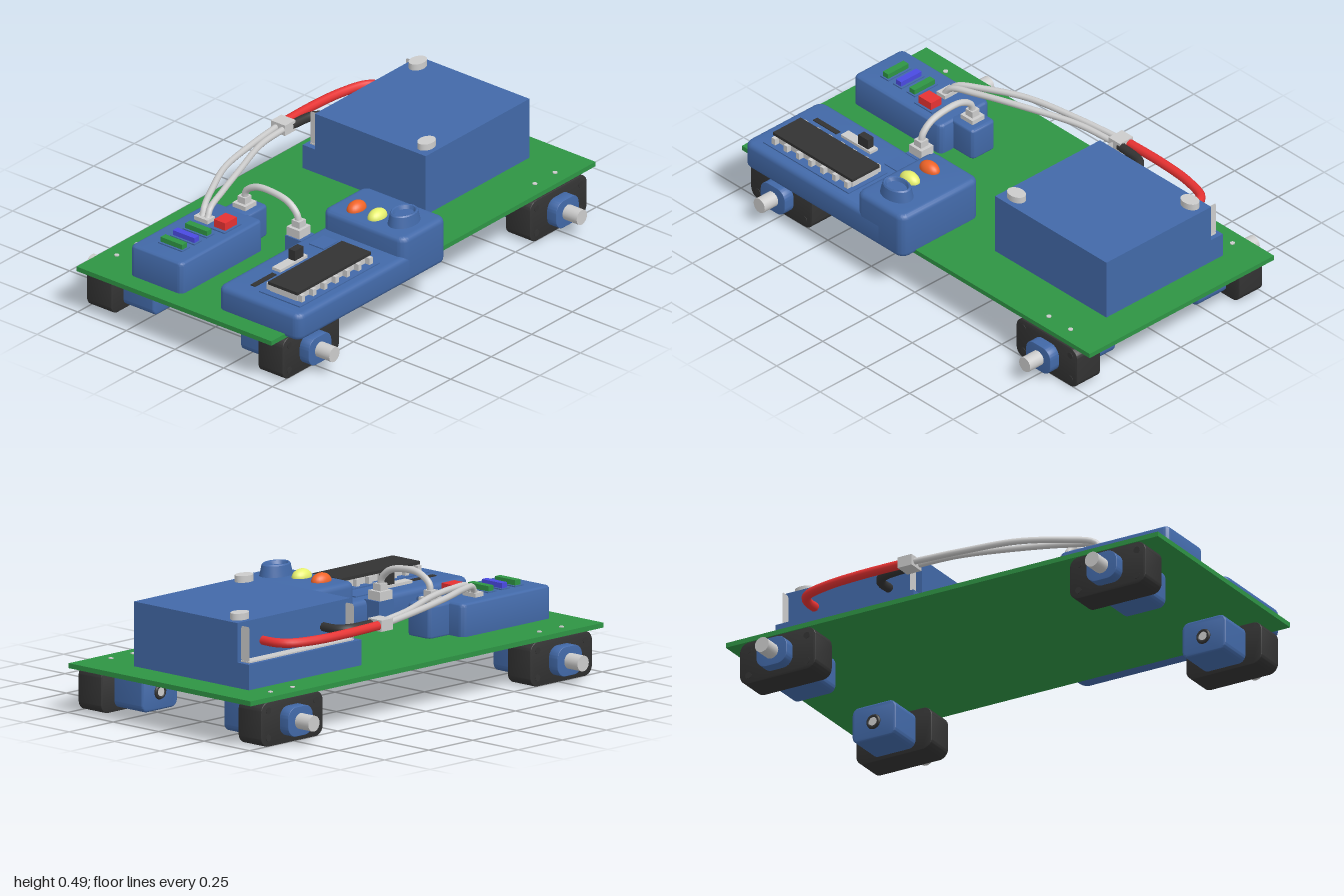
import * as THREE from 'three';
import { toCreasedNormals } from 'three/addons/utils/BufferGeometryUtils.js';

const mat = (color) => new THREE.MeshStandardMaterial({ color });
const grey = mat(0xcccccc), blue = mat(0x4269a8), green = mat(0x2e9444), black = mat(0x333333),
  red = mat(0xe63232), orange = mat(0xf06428), yellow = mat(0xe6f06e), violet = mat(0x4a4ae0);
const greyThin = grey.clone();
greyThin.side = THREE.DoubleSide;

function add(parent, name, geometry, material, x = 0, y = 0, z = 0) {
  const mesh = new THREE.Mesh(geometry, material);
  mesh.name = name;
  mesh.position.set(x, y, z);
  parent.add(mesh);
  return mesh;
}

// Box given by its limits on each axis
function block(parent, name, material, x0, x1, y0, y1, z0, z1) {
  return add(parent, name, new THREE.BoxGeometry(x1 - x0, y1 - y0, z1 - z0), material,
    (x0 + x1) / 2, (y0 + y1) / 2, (z0 + z1) / 2);
}

// Rounded rectangle centred on the origin
function roundRect(w, h, r) {
  const s = new THREE.Shape(), a = w / 2 - r, b = h / 2 - r;
  s.absarc(a, b, r, 0, Math.PI / 2);
  s.absarc(-a, b, r, Math.PI / 2, Math.PI);
  s.absarc(-a, -b, r, Math.PI, Math.PI * 1.5);
  s.absarc(a, -b, r, Math.PI * 1.5, Math.PI * 2);
  s.closePath();
  return s;
}

// Rounded bar along z from 0 to depth, with softened end edges
function bar(w, h, depth, r, bevel) {
  const g = new THREE.ExtrudeGeometry(roundRect(w - 2 * bevel, h - 2 * bevel, Math.max(r - bevel, 0.002)), {
    depth: depth - 2 * bevel, bevelEnabled: bevel > 0, bevelSize: bevel, bevelThickness: bevel,
    bevelSegments: 4, curveSegments: 6,
  });
  g.translate(0, 0, bevel);
  return toCreasedNormals(g, 0.6);
}

// Housing with rounded plan corners and top edges, given by its limits
function housing(parent, name, x0, x1, y0, y1, z0, z1, r, bevel) {
  const g = bar(x1 - x0, z1 - z0, y1 - y0, r, bevel);
  g.rotateX(-Math.PI / 2);
  return add(parent, name, g, blue, (x0 + x1) / 2, y0, (z0 + z1) / 2);
}

function wire(parent, name, material, radius, points) {
  const path = new THREE.CatmullRomCurve3(points.map((p) => new THREE.Vector3(...p)));
  return add(parent, name, new THREE.TubeGeometry(path, 40, radius, 10), material);
}

// Gear motor with its shaft along +z
function makeMotor() {
  const motor = new THREE.Group();
  motor.name = 'gearMotor';
  add(motor, 'gearbox', bar(0.35, 0.18, 0.126, 0.04, 0.003), black, 0, 0, 0.377);
  add(motor, 'motorCan', bar(0.2, 0.153, 0.16, 0.03, 0.008), blue, 0, 0.002, 0.223);
  add(motor, 'frontBoss', bar(0.14, 0.12, 0.05, 0.045, 0.002), blue, 0, 0, 0.5);
  const shaft = new THREE.CylinderGeometry(0.032, 0.032, 0.08, 24).rotateX(Math.PI / 2);
  add(motor, 'shaft', shaft, grey, 0, 0, 0.583);
  const nub = new THREE.CylinderGeometry(0.018, 0.018, 0.02, 16).rotateX(Math.PI / 2);
  add(motor, 'rearBearing', nub, grey, 0, 0, 0.227);
  const ring = new THREE.TorusGeometry(0.024, 0.008, 8, 20);
  add(motor, 'bearingRing', ring, black, 0, 0, 0.223);
  for (const sx of [-1, 1]) for (const sy of [-1, 1]) {
    const screw = new THREE.CylinderGeometry(0.014, 0.014, 0.01, 12).rotateX(Math.PI / 2);
    add(motor, 'gearboxScrew', screw, black, sx * 0.135, sy * 0.055, 0.5);
  }
  return motor;
}

export function createModel() {
  const model = new THREE.Group();
  model.name = 'robotChassis';

  // Base plate with small mounting screws
  block(model, 'basePlate', green, -1, 1, 0.185, 0.205, -0.506, 0.495);
  for (const sx of [-1, 1]) for (const x of [0.7, 0.825]) for (const z of [-0.445, 0.433])
    add(model, 'plateScrew', new THREE.CylinderGeometry(0.01, 0.01, 0.006, 10), grey, sx * x, 0.206, z);

  // Four motors, shafts facing outward
  for (const x of [-0.765, 0.762]) for (const turn of [0, Math.PI]) {
    const motor = makeMotor();
    motor.position.set(x, 0.095, 0);
    motor.rotation.y = turn;
    model.add(motor);
  }

  // Battery with a stepped back and a connector channel
  const battery = new THREE.Group();
  battery.name = 'battery';
  model.add(battery);
  block(battery, 'batteryBody', blue, 0.22, 0.86, 0.205, 0.467, -0.297, 0.272);
  block(battery, 'batteryStep', blue, 0.22, 0.86, 0.205, 0.308, -0.36, -0.297);
  block(battery, 'channelFloor', grey, 0.245, 0.84, 0.308, 0.314, -0.343, -0.297);
  for (const x of [0.247, 0.838]) {
    const end = new THREE.ShapeGeometry(roundRect(0.046, 0.143, 0.01)).rotateY(Math.PI / 2);
    add(battery, 'channelEnd', end, greyThin, x, 0.382, -0.32);
  }
  for (const [x, z] of [[0.793, -0.245], [0.288, 0.22]]) {
    const post = add(battery, 'terminalPost', new THREE.CylinderGeometry(0.043, 0.043, 0.03, 28), grey, x, 0.479, z);
    post.scale.z = 0.73;
  }

  // Power leads, inline connector and the leads to the motor driver
  wire(model, 'redLead', red, 0.019, [[0.715, 0.375, -0.29], [0.712, 0.375, -0.36], [0.68, 0.375, -0.41],
    [0.57, 0.375, -0.445], [0.41, 0.377, -0.457], [0.21, 0.38, -0.453]]);
  wire(model, 'blackLead', black, 0.019, [[0.372, 0.375, -0.29], [0.37, 0.375, -0.36], [0.335, 0.377, -0.4],
    [0.21, 0.38, -0.415]]);
  block(model, 'inlineConnector', grey, 0.16, 0.225, 0.357, 0.403, -0.473, -0.4);
  wire(model, 'driverLead', grey, 0.013, [[0.17, 0.38, -0.45], [-0.03, 0.39, -0.415], [-0.26, 0.4, -0.36],
    [-0.43, 0.395, -0.285], [-0.54, 0.38, -0.232], [-0.567, 0.345, -0.22]]);
  wire(model, 'driverLead', grey, 0.013, [[0.17, 0.38, -0.415], [0, 0.39, -0.388], [-0.235, 0.4, -0.302],
    [-0.42, 0.395, -0.24], [-0.54, 0.38, -0.203], [-0.567, 0.345, -0.195]]);

  // Motor driver housing at the back
  const driver = new THREE.Group();
  driver.name = 'motorDriver';
  model.add(driver);
  housing(driver, 'driverHousing', -0.92, -0.415, 0.19, 0.338, -0.3, 0.033 - 0.065, 0.025, 0.015);
  housing(driver, 'driverSocket', -0.45, -0.303, 0.2, 0.338, -0.225, -0.1, 0.02, 0.012);
  [[-0.812, green], [-0.737, violet], [-0.66, green]].forEach(([x, m]) => {
    block(driver, 'bladeSeat', blue, x - 0.024, x + 0.024, 0.33, 0.343, -0.225, -0.1);
    block(driver, 'bladeFuse', m, x - 0.015, x + 0.015, 0.33, 0.364, -0.218, -0.107);
  });
  block(driver, 'buttonSeat', blue, -0.61, -0.505, 0.33, 0.343, -0.148, -0.07);
  block(driver, 'redButton', red, -0.594, -0.522, 0.33, 0.376, -0.138, -0.08);
  block(driver, 'leadTerminal', grey, -0.59, -0.543, 0.33, 0.355, -0.245, -0.175);

  // Controller housing: low deck and raised panel
  const control = new THREE.Group();
  control.name = 'controller';
  model.add(control);
  housing(control, 'controllerDeck', -0.917, -0.1, 0.187, 0.304, 0.145, 0.567, 0.04, 0.022);
  housing(control, 'controllerPanel', -0.272, 0, 0.187, 0.387, 0.145, 0.567, 0.04, 0.022);

  // Processor chip on its carrier with pin rows
  block(control, 'chipSeat', blue, -0.853, -0.36, 0.295, 0.309, 0.308, 0.52);
  block(control, 'chipCarrier', grey, -0.825, -0.38, 0.3, 0.342, 0.342, 0.48);
  block(control, 'chip', black, -0.83, -0.375, 0.338, 0.351, 0.337, 0.487);
  for (let i = 0; i < 7; i++) for (const side of [-1, 1]) {
    const x = -0.811 + i * 0.0695, z = 0.412 + side * 0.08;
    block(control, 'chipPin', grey, x - 0.01, x + 0.01, 0.3, 0.338, z - 0.011, z + 0.011);
  }

  // Slide switch, slot and small cover
  block(control, 'switchPlate', grey, -0.672, -0.503, 0.3, 0.316, 0.226, 0.268);
  block(control, 'switchKnob', black, -0.577, -0.522, 0.31, 0.36, 0.231, 0.263);
  block(control, 'cardSlot', black, -0.83, -0.697, 0.3, 0.308, 0.247, 0.27);
  block(control, 'smallCover', blue, -0.414, -0.325, 0.3, 0.309, 0.2, 0.275);

  // Indicator lamps and turning knob
  [[0.25, orange], [0.357, yellow]].forEach(([z, m]) => {
    const lamp = add(control, 'lamp', new THREE.SphereGeometry(0.048, 24, 16), m, -0.18, 0.387, z);
    lamp.scale.set(1, 0.72, 0.68);
  });
  const knobProfile = [[0, 0.034], [0.046, 0.034], [0.054, 0.048], [0.06, 0.05], [0.066, 0.045], [0.077, 0]]
    .reverse().map(([r, y]) => new THREE.Vector2(r, y));
  const knob = add(control, 'knob', toCreasedNormals(new THREE.LatheGeometry(knobProfile, 32), 0.6), blue, -0.143, 0.386, 0.463);
  knob.scale.z = 0.73;

  // Signal cable arching between driver and controller
  for (const [z, y] of [[-0.165, 0.345], [0.113, 0.33]]) {
    block(model, 'cablePlug', grey, -0.408, -0.338, y - 0.04, y + 0.012, z - 0.033, z + 0.033);
    block(model, 'cableBoot', grey, -0.393, -0.353, y, y + 0.04, z - 0.02, z + 0.02);
  }
  block(model, 'plugSocket', blue, -0.415, -0.33, 0.205, 0.305, 0.078, 0.16);
  wire(model, 'signalCable', grey, 0.014, [[-0.373, 0.36, -0.165], [-0.373, 0.41, -0.155], [-0.373, 0.443, -0.1],
    [-0.373, 0.447, -0.02], [-0.373, 0.43, 0.06], [-0.373, 0.39, 0.105], [-0.373, 0.345, 0.113]]);

  return model;
}
